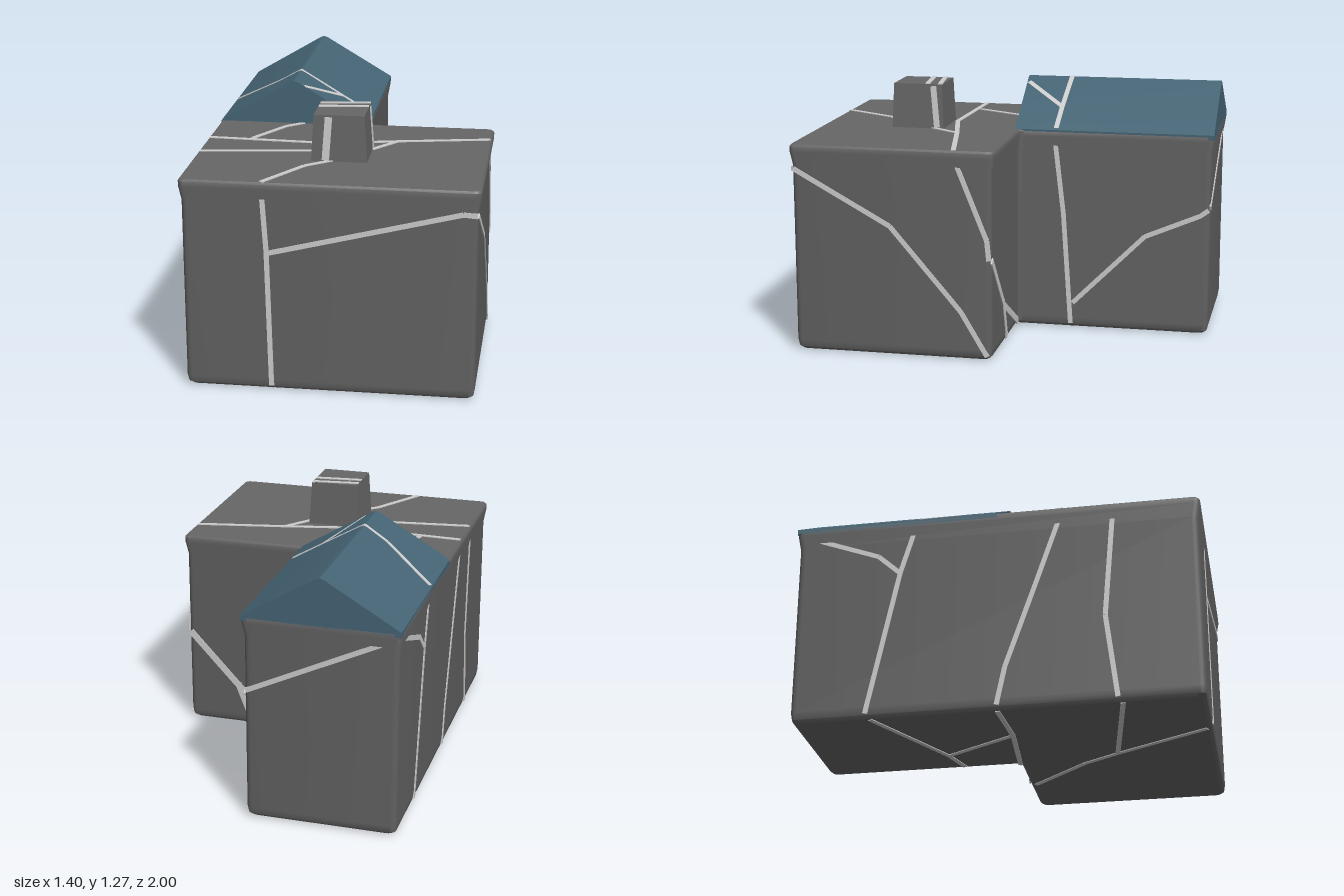
import * as THREE from 'three';
import { mergeGeometries, mergeVertices, toCreasedNormals } from 'three/addons/utils/BufferGeometryUtils.js';

const stone = new THREE.MeshStandardMaterial({ color: 0x666666 });
const slate = new THREE.MeshStandardMaterial({ color: 0x456474 });
const gap = new THREE.MeshStandardMaterial({ color: 0xcccccc });

const RIDGE_X = -0.32, RIDGE_Y = 1.255, EAVE_Y = 1.035;
const SLOPE = (RIDGE_Y - EAVE_Y) / 0.38;
const roofY = x => RIDGE_Y - SLOPE * Math.abs(x - RIDGE_X);

function add(group, name, geometry, material) {
  const mesh = new THREE.Mesh(geometry, material);
  mesh.name = name;
  group.add(mesh);
  return mesh;
}

// L-shaped plan with softened corners, shrunk by d; second coordinate is -z
function plan(d) {
  const corners = [
    [-0.7 + d, -1 + d], [0.7 - d, -1 + d], [0.7 - d, 0.015 - d],
    [0.06 - d, 0.015 - d], [0.06 - d, 1 - d], [-0.7 + d, 1 - d],
  ].map(c => new THREE.Vector2(...c));
  const r = 0.03, shape = new THREE.Shape();
  corners.forEach((c, i) => {
    const prev = corners[(i + 5) % 6], next = corners[(i + 1) % 6];
    const a = c.clone().add(prev.clone().sub(c).setLength(r));
    const b = c.clone().add(next.clone().sub(c).setLength(r));
    if (i === 0) shape.moveTo(a.x, a.y); else shape.lineTo(a.x, a.y);
    shape.quadraticCurveTo(c.x, c.y, b.x, b.y);
  });
  shape.closePath();
  return shape;
}

// Walls lofted through plan outlines: rounded foot, straight wall, flared eave
function wallGeometry() {
  const levels = [[0.035, 0], [0.018, 0.015], [0.012, 0.05], [0.012, 0.93], [0, 1.0], [0, 1.025], [0.008, EAVE_Y]];
  const rings = levels.map(([d]) => plan(d).getPoints(4).slice(0, -1));
  const n = rings[0].length, pos = [], index = [];
  rings.forEach((ring, j) => ring.forEach(p => pos.push(p.x, levels[j][1], -p.y)));
  for (let j = 0; j < levels.length - 1; j++) {
    for (let i = 0; i < n; i++) {
      const a = j * n + i, b = j * n + (i + 1) % n;
      index.push(a, b, b + n, a, b + n, a + n);
    }
  }
  // Floor and flat top
  for (const [a, b, c] of THREE.ShapeUtils.triangulateShape(rings[0], [])) index.push(a, c, b);
  const top = (levels.length - 1) * n;
  for (const [a, b, c] of THREE.ShapeUtils.triangulateShape(rings[levels.length - 1], [])) {
    index.push(top + a, top + b, top + c);
  }
  const g = new THREE.BufferGeometry();
  g.setAttribute('position', new THREE.Float32BufferAttribute(pos, 3));
  g.setIndex(index);
  return toCreasedNormals(mergeVertices(g), 0.7);
}

// Ribbons of thin boxes along polylines lying on a face with the given normal
function crackGeometry(normal, lines, width = 0.024) {
  const n = new THREE.Vector3(...normal).normalize(), parts = [];
  for (const line of lines) {
    for (let i = 0; i < line.length - 1; i++) {
      const a = new THREE.Vector3(...line[i]), b = new THREE.Vector3(...line[i + 1]);
      const dir = b.clone().sub(a), length = dir.length();
      dir.normalize();
      const side = new THREE.Vector3().crossVectors(n, dir).normalize();
      const up = new THREE.Vector3().crossVectors(dir, side);
      const m = new THREE.Matrix4().makeBasis(side, up, dir);
      m.setPosition(a.add(b).multiplyScalar(0.5));
      parts.push(new THREE.BoxGeometry(width, 0.008, length).applyMatrix4(m));
    }
  }
  return mergeGeometries(parts);
}

export function createModel() {
  const model = new THREE.Group();
  model.name = 'crackedHouse';

  add(model, 'walls', wallGeometry(), stone);

  // Gabled roof over the rear wing
  const gable = new THREE.Shape();
  [[-0.7, 1.01], [0.06, 1.01], [0.06, 1.035], [-0.3, 1.248], [-0.32, RIDGE_Y], [-0.34, 1.248], [-0.7, 1.035]]
    .forEach(([x, y], i) => (i ? gable.lineTo(x, y) : gable.moveTo(x, y)));
  gable.closePath();
  const roof = new THREE.ExtrudeGeometry(gable, { depth: 1.01, bevelEnabled: false });
  add(model, 'wingRoof', toCreasedNormals(roof.translate(0, 0, -1), 0.5), slate);

  // Tapered chimney
  const stack = new THREE.BoxGeometry(0.27, 0.24, 0.27);
  const p = stack.attributes.position;
  for (let i = 0; i < p.count; i++) {
    if (p.getY(i) > 0) p.setXYZ(i, p.getX(i) * 0.9, p.getY(i), p.getZ(i) * 0.93);
  }
  stack.computeVertexNormals();
  add(model, 'chimney', stack.translate(0, 1.14, 0.5), stone);

  // Cracks, each face drawn in its own two coordinates
  const cracks = new THREE.Group();
  cracks.name = 'cracks';
  model.add(cracks);
  const onX = x => ([z, y]) => [x, y, z];
  const onY = y => ([x, z]) => [x, y, z];
  const onZ = z => ([x, y]) => [x, y, z];
  const onRoof = ([x, z]) => [x, roofY(x), z];
  const crack = (name, normal, place, lines, width) =>
    add(cracks, name, crackGeometry(normal, lines.map(l => l.map(place)), width), gap);

  crack('frontCracks', [0, 0, 1], onZ(0.988), [
    [[-0.31, 1.02], [-0.29, 0.7], [-0.275, 0.02]],
    [[-0.285, 0.69], [0.62, 0.92], [0.685, 0.915]],
  ]);
  crack('leftSideCracks', [1, 0, 0], onX(0.688), [
    [[0.98, 0.915], [0.5, 0.65], [0.15, 0.24], [0.02, 0.02]],
    [[0.18, 1.0], [0.02, 0.6], [0.01, 0.5]],
  ]);
  crack('wingLeftCracks', [1, 0, 0], onX(0.048), [
    [[-0.19, 1.02], [-0.24, 0.6], [-0.28, 0.02]],
    [[-0.29, 0.13], [-0.66, 0.5], [-0.94, 0.62], [-0.98, 0.65]],
  ]);
  crack('rightSideCracks', [-1, 0, 0], onX(-0.688), [
    [[-0.39, 1.02], [-0.47, 0.75], [-0.62, 0.02]],
    [[-0.47, 0.75], [-0.58, 0.85], [-0.98, 1.0]],
    [[0.33, 1.02], [0.2, 0.64], [0.05, 0.21], [0.01, 0.02]],
    [[0.58, 1.02], [0.53, 0.44], [0.58, 0.02]],
  ]);
  crack('wingBackCracks', [0, 0, -1], onZ(-0.988), [[[-0.685, 1.0], [0.04, 0.66]]]);
  crack('innerBackCracks', [0, 0, -1], onZ(-0.003), [
    [[0.68, 0.5], [0.4, 0.2], [0.06, 0.02]],
    [[0.42, 0.23], [0.34, 0.02]],
  ], 0.035);
  crack('flatRoofCracks', [0, 1, 0], onY(EAVE_Y), [
    [[-0.69, 0.32], [-0.09, 0.345], [0.24, 0.27], [0.69, 0.18]],
    [[-0.27, 0.01], [-0.35, 0.08], [-0.48, 0.31]],
    [[-0.69, 0.55], [-0.13, 0.475]],
    [[0.24, 0.27], [0.13, 0.42]],
    [[-0.03, 0.62], [-0.15, 0.72], [-0.31, 0.99]],
  ]);
  crack('roofRightCracks', [-SLOPE, 1, 0], onRoof, [
    [[-0.69, -0.39], [-0.44, -0.24], [RIDGE_X, -0.22]],
  ]);
  crack('roofLeftCracks', [SLOPE, 1, 0], onRoof, [
    [[RIDGE_X, -0.22], [-0.1, -0.205], [0.05, -0.2]],
    [[-0.1, -0.205], [-0.27, 0]],
  ]);
  crack('floorCracks', [0, -1, 0], onY(0), [
    [[0.34, 0.03], [0.08, 0.32], [-0.03, 0.5], [-0.28, 0.96]],
    [[-0.03, 0.5], [-0.66, 0.6]],
    [[0.04, 0], [-0.35, 0.03], [-0.66, 0.01]],
    [[0.02, -0.28], [-0.14, -0.33], [-0.66, -0.6]],
    [[-0.14, -0.33], [-0.35, 0.03]],
  ]);
  crack('chimneyTopCracks', [0, 1, 0], onY(1.26), [
    [[-0.12, 0.415], [0.12, 0.385]],
    [[-0.12, 0.475], [0.12, 0.45]],
  ]);
  crack('chimneyFrontCrack', [0, 0, 1], ([x, y]) => [x, y, 0.635 - 0.04 * (y - 1.02)],
    [[[-0.05, 1.25], [-0.065, 1.04]]], 0.035);
  crack('chimneySideCrack', [1, 0, 0], ([z, y]) => [0.135 - 0.056 * (y - 1.02), y, z],
    [[[0.42, 1.25], [0.4, 1.04]]], 0.03);

  return model;
}
